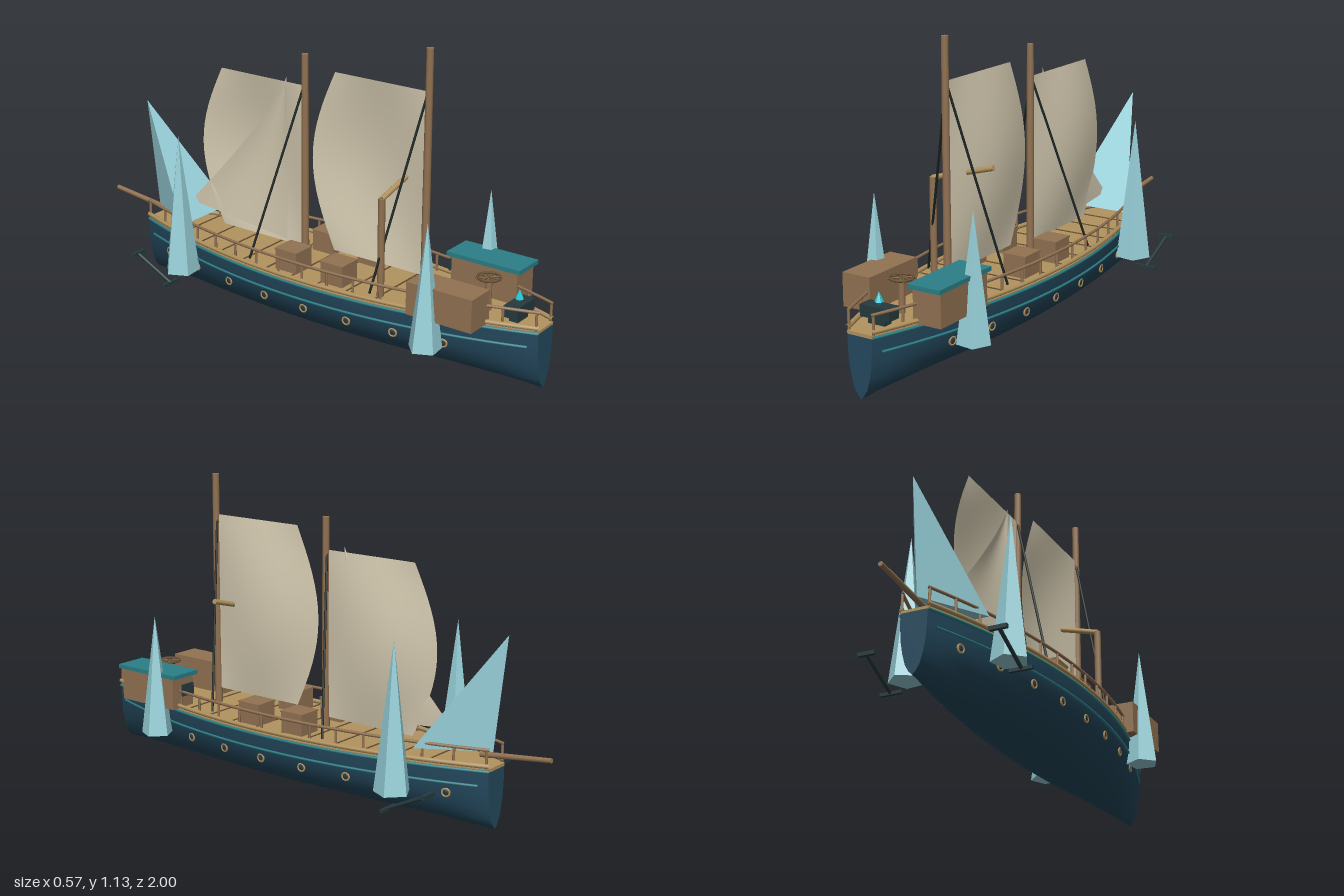
import * as THREE from 'three';

export function createModel() {
  const model = new THREE.Group();
  const mat = (name, color, side = THREE.FrontSide, flatShading = false) =>
    Object.assign(new THREE.MeshStandardMaterial({ color, side, flatShading }), { name });
  const hullBlue = mat('hull blue', 0x24495e);
  const teal = mat('teal trim', 0x2c7f88);
  const deckTan = mat('deck tan', 0xb2935f);
  const wood = mat('brown wood', 0x927252);
  const seamBrown = mat('dark seam', 0x6a5236);
  const canvas = mat('canvas', 0xd6ccb2, THREE.DoubleSide);
  const ice = mat('pale crystal', 0x9ad3dc, THREE.FrontSide, true);
  const iron = mat('dark iron', 0x263a3e);
  const rope = mat('black rope', 0x182220);
  const glow = mat('cyan flame', 0x25c4d2, THREE.FrontSide, true);

  const V = (x, y, z) => new THREE.Vector3(x, y, z);
  function add(name, geo, material, x = 0, y = 0, z = 0) {
    const m = new THREE.Mesh(geo, material);
    m.name = name;
    m.position.set(x, y, z);
    model.add(m);
    return m;
  }
  const box = (name, w, h, d, m, x, y, z) => add(name, new THREE.BoxGeometry(w, h, d), m, x, y, z);
  function rod(name, a, b, r, m, r2 = r) {
    const o = add(name, new THREE.CylinderGeometry(r2, r, a.distanceTo(b), 10), m);
    o.position.copy(a).add(b).multiplyScalar(0.5);
    o.quaternion.setFromUnitVectors(V(0, 1, 0), b.clone().sub(a).normalize());
    return o;
  }

  // Plan of the boat: half width at a given z
  const Z0 = -0.785, Z1 = 0.995, ZM = 0.105, N = 28;
  const halfWidth = (z) => 0.05 + 0.167 * (1 - ((z - ZM) / 0.89) ** 2);
  const zs = Array.from({ length: N + 1 }, (_, i) => Z0 + (Z1 - Z0) * i / N);

  // Hull lofted from scaled cross-sections
  const half = [[1, 0.222], [0.98, 0.175], [0.92, 0.125], [0.76, 0.08], [0.55, 0.04], [0.27, 0.016]];
  const section = [...half, [0, 0.002], ...half.map(([x, y]) => [-x, y]).reverse()];
  const S = section.length, pos = [], idx = [];
  zs.forEach((z, i) => section.forEach(([x, y], j) => {
    pos.push(x * halfWidth(z), y, z);
    if (i < N && j < S - 1) {
      const a = i * S + j, b = a + S;
      idx.push(a, b, a + 1, a + 1, b, b + 1);
    }
  }));
  const hull = new THREE.BufferGeometry();
  hull.setAttribute('position', new THREE.Float32BufferAttribute(pos, 3));
  hull.setIndex(idx);
  hull.computeVertexNormals();
  add('hull', hull, hullBlue);
  for (const z of [Z0, Z1]) {
    const w = halfWidth(z);
    const cap = new THREE.Shape(section.map(([x, y]) => new THREE.Vector2(x * w, y)));
    add('hullEnd', new THREE.ShapeGeometry(cap), hullBlue, 0, 0, z).rotation.y = z < 0 ? Math.PI : 0;
  }

  // Deck with cross seams
  const plan = new THREE.Shape([
    ...zs.map((z) => new THREE.Vector2(halfWidth(z), -z)),
    ...[...zs].reverse().map((z) => new THREE.Vector2(-halfWidth(z), -z))]);
  const deck = new THREE.ExtrudeGeometry(plan, { depth: 0.012, bevelEnabled: false });
  add('deck', deck.rotateX(-Math.PI / 2), deckTan, 0, 0.22, 0);
  for (let i = 0; i < 10; i++) {
    const z = -0.56 + 0.12 * i;
    box('deckSeam', 1.9 * halfWidth(z), 0.004, 0.005, seamBrown, 0, 0.233, z);
  }

  // Lines that follow the side of the boat
  function sideLine(name, s, k, y, r, m, a = Z0, b = Z1) {
    const pts = zs.map((_, i) => a + (b - a) * i / N).map((z) => V(s * k * halfWidth(z), y, z));
    add(name, new THREE.TubeGeometry(new THREE.CatmullRomCurve3(pts), 56, r, 6), m);
  }
  for (const s of [-1, 1]) {
    sideLine('sideStripe', s, 0.985, 0.168, 0.005, teal, -0.75, 0.96);
    sideLine('sheerTrim', s, 1, 0.222, 0.006, teal);
    sideLine('gunwale', s, 0.98, 0.242, 0.009, deckTan);
    sideLine('handRail', s, 0.94, 0.3, 0.006, wood);
    for (let i = 0; i <= 16; i++) {
      const z = Z0 + 0.01 + (Z1 - Z0 - 0.02) * i / 16, x = s * 0.94 * halfWidth(z);
      rod('railPost', V(x, 0.23, z), V(x, 0.3, z), 0.005, wood);
    }
    // Portholes
    for (let i = 0; i < 8; i++) {
      const z = -0.64 + 0.1875 * i, x = s * 0.935 * halfWidth(z);
      const yaw = Math.atan2(s, 0.42 * (z - ZM));
      add('portholeRing', new THREE.TorusGeometry(0.014, 0.004, 6, 16), deckTan, x, 0.13, z).rotation.y = yaw;
      add('portholeGlass', new THREE.SphereGeometry(0.012, 12, 6).scale(1, 1, 0.3), iron, x, 0.13, z).rotation.y = yaw;
    }
    // Crystal spires beside the hull
    for (const [x, z, top, r] of [[0.195, -0.485, 0.67, 0.068], [0.205, 0.64, 0.59, 0.062]]) {
      const h = top - 0.125;
      const spire = new THREE.ConeGeometry(r, h, 5);
      add('crystalSpire', spire, ice, s * x, 0.125 + h / 2, z).rotation.y = s * 0.5;
    }
    // Anchors
    rod('anchorShank', V(s * 0.245, 0.083, -0.5), V(s * 0.245, 0.165, -0.67), 0.007, iron);
    box('anchorStock', 0.085, 0.012, 0.012, iron, s * 0.243, 0.083, -0.503);
    box('anchorCrown', 0.065, 0.014, 0.014, iron, s * 0.243, 0.165, -0.668);
    // Deck crates
    for (const z of [-0.002, 0.205]) {
      box('crate', 0.092, 0.08, 0.096, wood, s * 0.115, 0.272, z);
      box('crateLid', 0.097, 0.006, 0.101, wood, s * 0.115, 0.312, z);
    }
    // Shrouds
    rod('shroud', V(0, 0.97, 0.495), V(s * 0.17, 0.25, 0.38), 0.0045, rope);
    rod('shroud', V(0, 0.9, -0.04), V(s * 0.178, 0.25, -0.16), 0.0045, rope);
  }

  // Masts and bowsprit
  rod('aftMast', V(0, 0.22, 0.5), V(0, 1.13, 0.5), 0.015, wood, 0.013);
  rod('foreMast', V(0, 0.22, -0.035), V(0, 1.02, -0.035), 0.015, wood, 0.013);
  rod('bowsprit', V(0, 0.262, -0.72), V(0, 0.295, -1), 0.011, wood, 0.009);

  // Sails: a plane bent by a rule, u runs away from the mast, v runs up
  function sail(name, rule) {
    const g = new THREE.PlaneGeometry(1, 1, 16, 16), p = g.attributes.position;
    for (let i = 0; i < p.count; i++) p.setXYZ(i, ...rule(p.getX(i) + 0.5, p.getY(i) + 0.5));
    g.computeVertexNormals();
    add(name, g, canvas);
  }
  const bulge = (t) => Math.sin(Math.PI * t);
  const squareSail = (z0, y0, y1, len) => (u, v) =>
    [0.038 * bulge(u) * bulge(v), y0 + (y1 - y0) * v, z0 - u * (len + 0.1 * bulge(v))];
  sail('aftSail', squareSail(0.49, 0.29, 0.975, 0.39));
  sail('foreSail', squareSail(-0.045, 0.27, 0.9, 0.385));
  sail('jib', (u, v) => [
    0.015 * bulge(u) * bulge(v), 0.28 + 0.64 * v + 0.05 * u * (1 - v),
    -0.12 - 0.48 * u * (1 - v) ** 1.2]);

  // Bow crystal: a leaning three-sided spike
  const L = [-0.14, 0.28, -0.53], R = [0.14, 0.28, -0.53], B = [0, 0.28, -0.77], A = [0, 0.7, -0.82];
  const spike = new THREE.BufferGeometry();
  spike.setAttribute('position', new THREE.Float32BufferAttribute(
    [L, R, A, R, B, A, B, L, A, L, B, R].flat(), 3));
  spike.computeVertexNormals();
  add('bowCrystal', spike, ice);

  // Cabin, with roof and door plate, and the large cargo box opposite
  box('cabin', 0.112, 0.125, 0.27, wood, 0.146, 0.293, 0.69);
  box('cabinRoof', 0.13, 0.016, 0.3, teal, 0.144, 0.361, 0.69);
  box('cabinDoorPlate', 0.06, 0.045, 0.009, iron, 0.14, 0.305, 0.536);
  box('cargoBox', 0.115, 0.122, 0.265, wood, -0.147, 0.293, 0.69);

  // Cargo crane
  rod('cranePost', V(-0.13, 0.23, 0.4), V(-0.13, 0.6, 0.4), 0.013, wood);
  rod('craneBoom', V(-0.13, 0.598, 0.4), V(0.127, 0.668, 0.4), 0.01, deckTan);

  // Steering wheel lying flat on its stand
  rod('wheelStand', V(0, 0.23, 0.765), V(0, 0.355, 0.765), 0.012, wood);
  add('wheelRim', new THREE.TorusGeometry(0.04, 0.005, 6, 24).rotateX(Math.PI / 2), seamBrown, 0, 0.355, 0.765);
  for (let i = 0; i < 4; i++) {
    const c = 0.047 * Math.cos(i * Math.PI / 4), d = 0.047 * Math.sin(i * Math.PI / 4);
    rod('wheelSpoke', V(-c, 0.355, 0.765 - d), V(c, 0.355, 0.765 + d), 0.003, seamBrown);
  }

  // Brazier with flame
  box('brazier', 0.12, 0.042, 0.055, iron, 0, 0.275, 0.888);
  box('brazierFoot', 0.07, 0.03, 0.035, iron, 0, 0.242, 0.888);
  add('flame', new THREE.ConeGeometry(0.016, 0.035, 6), glow, 0, 0.325, 0.888);
  add('flameBase', new THREE.ConeGeometry(0.016, 0.015, 6).rotateX(Math.PI), glow, 0, 0.3, 0.888);

  return model;
}
